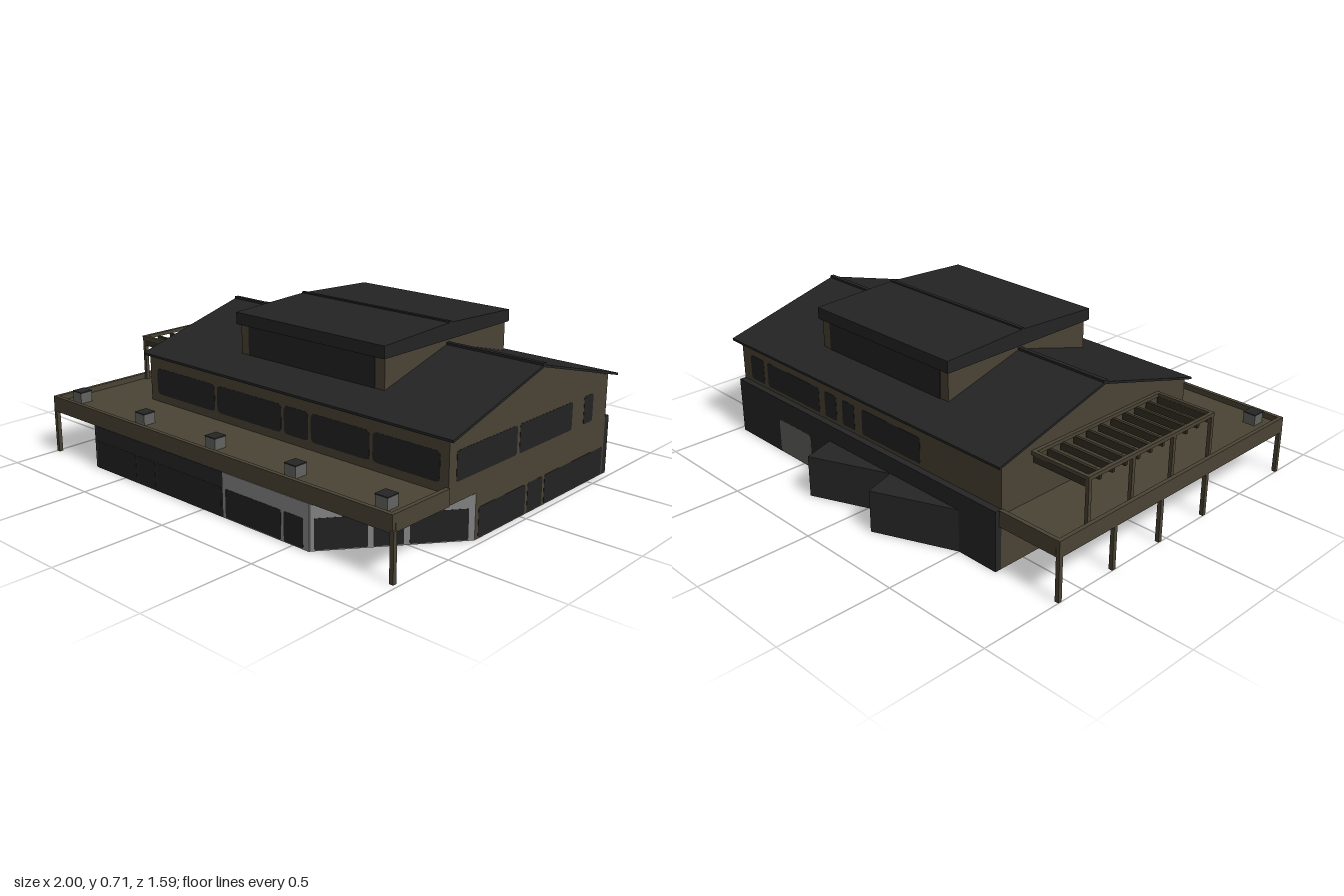
import * as THREE from 'three';

const mat = (name, color) => Object.assign(new THREE.MeshStandardMaterial({ color }), { name });
const BROWN = mat('brown timber', 0x4a4434);
const DARK = mat('dark cladding', 0x262626);
const ROOF = mat('roof sheet', 0x242424);
const GLASS = mat('dark glass', 0x222223);
const GREY = mat('grey frame', 0x858585);
const SLAT = mat('dark slat', 0x352f24);
const DOOR = mat('door grey', 0x636361);

function mesh(parent, name, geo, material) {
  const m = new THREE.Mesh(geo, material);
  m.name = name;
  parent.add(m);
  return m;
}

// Box given by its extents on each axis
function box(parent, name, material, x0, x1, y0, y1, z0, z1) {
  const m = mesh(parent, name, new THREE.BoxGeometry(x1 - x0, y1 - y0, z1 - z0), material);
  m.position.set((x0 + x1) / 2, (y0 + y1) / 2, (z0 + z1) / 2);
  return m;
}

// Plan outline [x, z] extruded upwards
function plan(parent, name, material, pts, y0, y1) {
  const s = new THREE.Shape(pts.map(([x, z]) => new THREE.Vector2(x, -z)));
  const g = new THREE.ExtrudeGeometry(s, { depth: y1 - y0, bevelEnabled: false });
  g.rotateX(-Math.PI / 2).translate(0, y0, 0);
  return mesh(parent, name, g, material);
}

// Side profile [z, y] extruded along x
function profile(parent, name, material, pts, x0, x1) {
  const s = new THREE.Shape(pts.map(([z, y]) => new THREE.Vector2(-z, y)));
  const g = new THREE.ExtrudeGeometry(s, { depth: x1 - x0, bevelEnabled: false });
  g.rotateY(Math.PI / 2).translate(x0, 0, 0);
  return mesh(parent, name, g, material);
}

// Rectangle with softened corners
function rounded(target, x0, x1, y0, y1, r) {
  target.moveTo(x0 + r, y0);
  target.lineTo(x1 - r, y0);
  target.quadraticCurveTo(x1, y0, x1, y0 + r);
  target.lineTo(x1, y1 - r);
  target.quadraticCurveTo(x1, y1, x1 - r, y1);
  target.lineTo(x0 + r, y1);
  target.quadraticCurveTo(x0, y1, x0, y1 - r);
  target.lineTo(x0, y0 + r);
  target.quadraticCurveTo(x0, y0, x0 + r, y0);
  return target;
}

// Wall from plan point a to b, outward on its right hand; openings are [s0, s1, y0, y1]
function wall(parent, name, material, a, b, y0, y1, openings = [], opt = {}) {
  const { peak, pane = GLASS, t = 0.01, r = 0.012 } = opt;
  const dx = b[0] - a[0], dz = b[1] - a[1], len = Math.hypot(dx, dz);
  const group = new THREE.Group();
  group.name = name;
  group.position.set(a[0], 0, a[1]);
  group.rotation.y = Math.atan2(-dz, dx);
  parent.add(group);
  const pts = [[0, y0], [len, y0], [len, y1], ...(peak ? [peak] : []), [0, y1]];
  const shape = new THREE.Shape(pts.map(p => new THREE.Vector2(...p)));
  const ext = { depth: t, bevelEnabled: false, curveSegments: 4 };
  for (const [s0, s1, b0, b1] of openings) {
    shape.holes.push(rounded(new THREE.Path(), s0, s1, b0, b1, r));
    const g = new THREE.ExtrudeGeometry(rounded(new THREE.Shape(), s0, s1, b0, b1, r), ext);
    mesh(group, name + ' pane', g.translate(0, 0, -t + 0.001), pane);
  }
  mesh(group, name + ' face', new THREE.ExtrudeGeometry(shape, ext).translate(0, 0, -t), material);
  return group;
}

export function createModel() {
  const model = new THREE.Group();
  model.name = 'house';
  const L = -0.7, R = 0.97, F = 0.47, B = -0.62, low = 0.004;
  const rows = (list, origin, dir, y0, y1) => list.map(([a, b]) => {
    const s = [(a - origin) * dir, (b - origin) * dir].sort((p, q) => p - q);
    return [s[0], s[1], y0, y1];
  });

  // Ground floor with a cut-off front corner
  wall(model, 'ground front wall', DARK, [L, 0.79], [0.12, 0.79], 0, 0.19,
    rows([[-0.685, -0.42], [-0.405, -0.295], [-0.28, 0.11]], L, 1, low, 0.125), { r: 0.004 });
  wall(model, 'entrance front', GREY, [0.12, 0.79], [0.585, 0.79], 0, 0.19,
    rows([[0.135, 0.44], [0.455, 0.555]], 0.12, 1, low, 0.125), { r: 0.008 });
  wall(model, 'entrance corner', GREY, [0.585, 0.785], [R, 0.3], 0, 0.19,
    [[0.015, 0.215, low, 0.13], [0.235, 0.35, low, 0.13], [0.372, 0.595, low, 0.13]], { r: 0.006 });
  wall(model, 'ground right wall', BROWN, [R, 0.3], [R, B], 0, 0.19,
    rows([[0.28, -0.03], [-0.045, -0.15], [-0.165, -0.61]], 0.3, -1, low, 0.128));
  wall(model, 'ground left wall', BROWN, [L, B], [L, 0.79], 0, 0.19,
    rows([[-0.28, 0.2]], B, 1, low, 0.13));
  wall(model, 'ground back wall', DARK, [R, -0.65], [L, -0.65], 0, 0.26,
    rows([[0.67, 0.44]], R, -1, low, 0.16), { pane: DOOR, t: 0.03, r: 0.02 });

  // Two angled back porches, each with a door on its short side
  for (const x of [-0.1, 0.3]) {
    plan(model, 'back porch', DARK, [[x, -0.65], [x - 0.4, -0.65], [x - 0.05, -0.8]], 0, 0.185);
    const a = [x + 0.003, -0.65], b = [x - 0.047, -0.8];
    wall(model, 'porch door wall', DARK, a, b, 0, 0.185,
      [[0.03, 0.055, low, 0.12]], { pane: BROWN, t: 0.004, r: 0.008 });
    wall(model, 'porch door', DOOR, a, b, 0, 0.01).visible = true;
    const door = model.children[model.children.length - 1];
    door.clear();
    mesh(door, 'porch door leaf', new THREE.ExtrudeGeometry(
      rounded(new THREE.Shape(), 0.045, 0.125, 0, 0.125, 0.02),
      { depth: 0.003, bevelEnabled: false, curveSegments: 4 }), DOOR);
  }

  // Upper floor
  const w0 = 0.27, w1 = 0.39;
  wall(model, 'upper front wall', BROWN, [L, F], [R, F], 0.19, 0.45,
    rows([[-0.655, -0.275], [-0.26, 0.125], [0.14, 0.275], [0.29, 0.595], [0.61, 0.93]], L, 1, w0, w1),
    { r: 0.022 });
  wall(model, 'right gable', BROWN, [R, F], [R, B], 0.19, 0.447,
    rows([[0.425, 0.043], [0.025, -0.35], [-0.44, -0.51]], F, -1, w0, w1), { peak: [0.545, 0.6] });
  wall(model, 'left gable', BROWN, [L, B], [L, F], 0.19, 0.447, [], { peak: [0.545, 0.6] });
  wall(model, 'upper back wall', BROWN, [R, B], [L, B], 0.19, 0.45,
    rows([[0.91, 0.81], [0.78, 0.4], [0.36, 0.28], [0.24, 0.16], [0.11, -0.25]], R, -1, 0.275, w1));

  // Main roof
  profile(model, 'main roof', ROOF, [[0.49, 0.453], [-0.075, 0.61], [-0.65, 0.453],
    [-0.65, 0.443], [-0.075, 0.6], [0.49, 0.443]], -0.72, 1);
  box(model, 'main ridge cap', ROOF, -0.72, 1, 0.603, 0.617, -0.085, -0.065);

  // Raised clerestory
  profile(model, 'clerestory walls', BROWN, [[0.32, 0.5], [0.32, 0.635], [-0.475, 0.635],
    [-0.475, 0.495], [-0.075, 0.606]], -0.26, 0.54);
  box(model, 'clerestory front glass', GLASS, -0.215, 0.49, 0.501, 0.63, 0.318, 0.323);
  box(model, 'clerestory back glass', GLASS, -0.215, 0.49, 0.497, 0.63, -0.478, -0.473);
  profile(model, 'clerestory roof', ROOF, [[0.335, 0.63], [0.335, 0.682], [-0.075, 0.7],
    [-0.49, 0.682], [-0.49, 0.63]], -0.275, 0.55);
  box(model, 'clerestory ridge cap', ROOF, -0.275, 0.55, 0.695, 0.706, -0.083, -0.067);

  // Wrap-around terrace with a low rim
  plan(model, 'terrace floor', BROWN, [[-1, -0.63], [L, -0.63], [L, F], [0.975, F],
    [0.975, 0.785], [-1, 0.785]], 0.19, 0.235);
  box(model, 'terrace front rim', BROWN, -1, 0.975, 0.19, 0.26, 0.77, 0.788);
  box(model, 'terrace left rim', BROWN, -1, -0.982, 0.19, 0.26, -0.63, 0.77);
  box(model, 'terrace right rim', BROWN, 0.957, 0.976, 0.19, 0.26, F, 0.77);
  box(model, 'terrace back rim', BROWN, -0.982, L, 0.19, 0.26, -0.631, -0.613);
  for (let i = 0; i < 5; i++) {
    const x = -0.905 + i * 0.445;
    box(model, 'terrace lamp base', DOOR, x - 0.029, x + 0.029, 0.187, 0.281, 0.671, 0.729);
    box(model, 'terrace lamp cap', DARK, x - 0.03, x + 0.03, 0.281, 0.286, 0.67, 0.73);
  }

  // Terrace posts
  const posts = [-0.62, -0.32, -0.04, 0.25, 0.78].map(z => [-0.991, z]);
  for (const [x, z] of [...posts, [0.974, 0.78]]) {
    box(model, 'terrace post', BROWN, x - 0.009, x + 0.009, 0, 0.2, z - 0.009, z + 0.009);
  }

  // Pergola beside the left gable
  for (const z of [-0.455, -0.21, 0.035, 0.28]) {
    box(model, 'pergola post', BROWN, -0.982, -0.966, 0.235, 0.435, z - 0.008, z + 0.008);
  }
  box(model, 'pergola outer beam', BROWN, -0.982, -0.966, 0.43, 0.446, -0.465, 0.29);
  box(model, 'pergola wall beam', BROWN, -0.716, L, 0.43, 0.446, -0.465, 0.29);
  for (const z of [-0.457, 0.282]) {
    box(model, 'pergola end beam', BROWN, -0.97, L, 0.43, 0.446, z - 0.008, z + 0.008);
  }
  for (let i = 0; i < 11; i++) {
    const z = -0.455 + i * 0.0735;
    box(model, 'pergola slat', SLAT, -0.966, -0.71, 0.4, 0.432, z - 0.007, z + 0.007);
  }
  return model;
}
